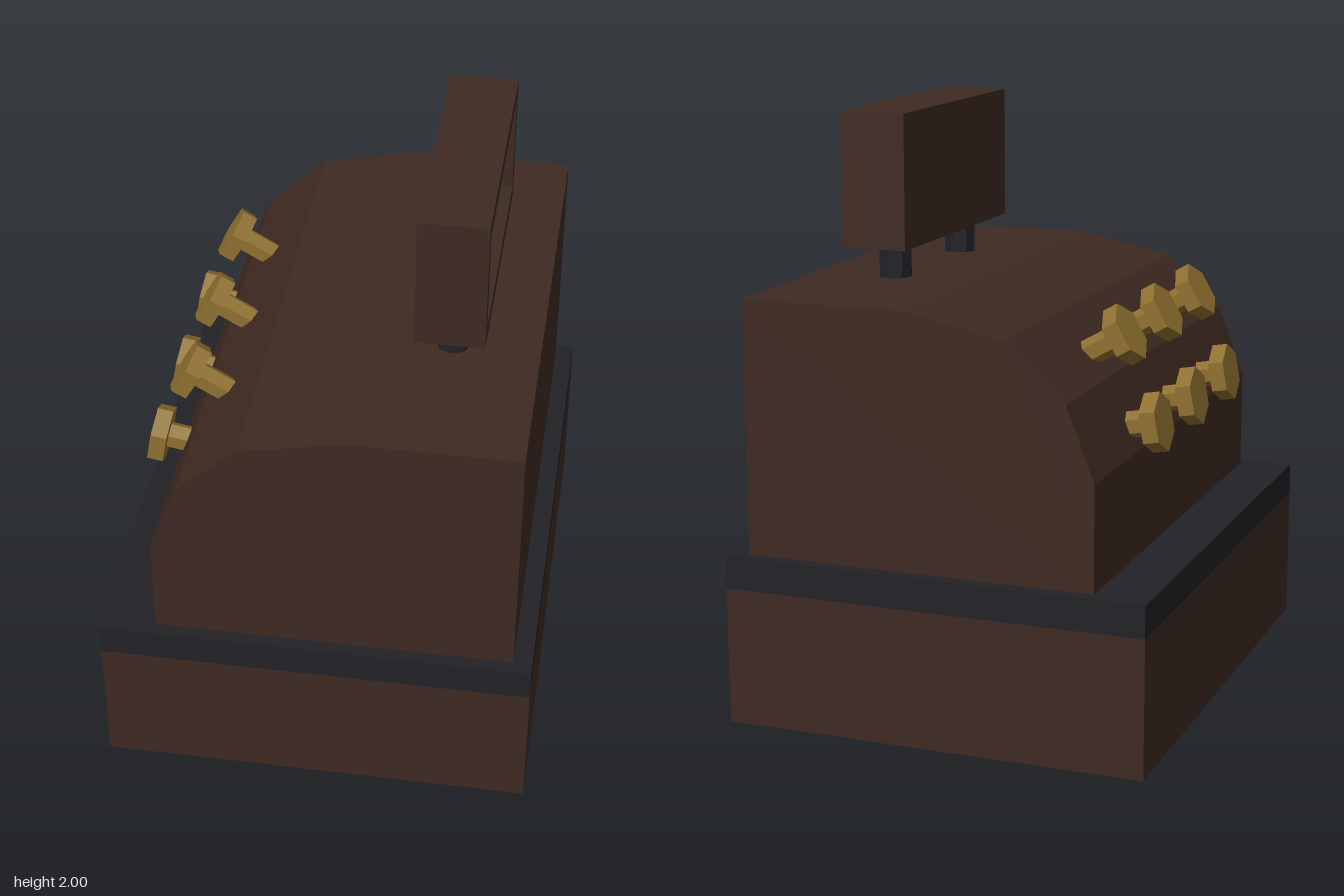
import * as THREE from 'three';

const paint = (color) => new THREE.MeshStandardMaterial({ color, flatShading: true });

export function createModel() {
  const model = new THREE.Group();
  model.name = 'cashRegister';
  const wood = paint(0x3e2a21), trim = paint(0x212127), brass = paint(0x8f7030), green = paint(0x376a33);

  const add = (name, geometry, material, x = 0, y = 0, z = 0, parent = model) => {
    const mesh = new THREE.Mesh(geometry, material);
    mesh.name = name;
    mesh.position.set(x, y, z);
    parent.add(mesh);
    return mesh;
  };
  // Box given by its limits in x and y, and its depth about z = 0
  const slab = (name, x0, x1, y0, y1, depth, material) =>
    add(name, new THREE.BoxGeometry(x1 - x0, y1 - y0, depth), material, (x0 + x1) / 2, (y0 + y1) / 2);

  // Drawer base and dark band
  slab('drawerBase', -0.723, 0.723, 0, 0.465, 1.8, wood);
  slab('band', -0.723, 0.723, 0.465, 0.575, 1.8, trim);

  // Housing with a faceted, rounded key side
  const profile = new THREE.Shape([
    [-0.54, 0.575], [0.66, 0.575], [0.66, 1.43], [0.105, 1.43],
    [-0.24, 1.36], [-0.445, 1.175], [-0.54, 0.93],
  ].map(([x, y]) => new THREE.Vector2(x, y)));
  add('housing', new THREE.ExtrudeGeometry(profile, { depth: 1.71, bevelEnabled: false }), wood, 0, 0, -0.855);

  // Two rows of hexagonal keys, each a cap on a stem
  const capGeometry = new THREE.CylinderGeometry(0.1, 0.1, 0.054, 6).rotateY(Math.PI / 6);
  const stemGeometry = new THREE.CylinderGeometry(0.045, 0.045, 0.22, 6).rotateY(Math.PI / 6);
  for (const [row, x, y, tilt] of [['lower', -0.595, 1.028, 80], ['upper', -0.483, 1.31, 60]]) {
    for (const z of [-0.4, 0, 0.4]) {
      const key = new THREE.Group();
      key.name = row + 'Key';
      key.position.set(x, y, z);
      key.rotation.z = THREE.MathUtils.degToRad(tilt);
      add('keyCap', capGeometry, brass, 0, 0, 0, key);
      add('keyStem', stemGeometry, brass, 0, -0.11, 0, key);
      model.add(key);
    }
  }

  // Display posts
  for (const z of [-0.285, 0.285]) {
    add('displayPost', new THREE.CylinderGeometry(0.058, 0.058, 0.16, 8), trim, 0.373, 1.49, z);
  }

  // Display case: solid back, raised frame and recessed screen facing +x
  slab('displayCase', 0.263, 0.45, 1.546, 2, 0.91, wood);
  const rectangle = (Type, w, h) => new Type([
    new THREE.Vector2(-w, -h), new THREE.Vector2(w, -h), new THREE.Vector2(w, h), new THREE.Vector2(-w, h),
  ]);
  const frame = rectangle(THREE.Shape, 0.455, 0.227);
  frame.holes.push(rectangle(THREE.Path, 0.41, 0.173));
  const frameGeometry = new THREE.ExtrudeGeometry(frame, { depth: 0.04, bevelEnabled: false });
  add('displayFrame', frameGeometry.rotateY(Math.PI / 2), wood, 0.45, 1.773);
  slab('screen', 0.44, 0.452, 1.6, 1.946, 0.82, green);

  return model;
}
